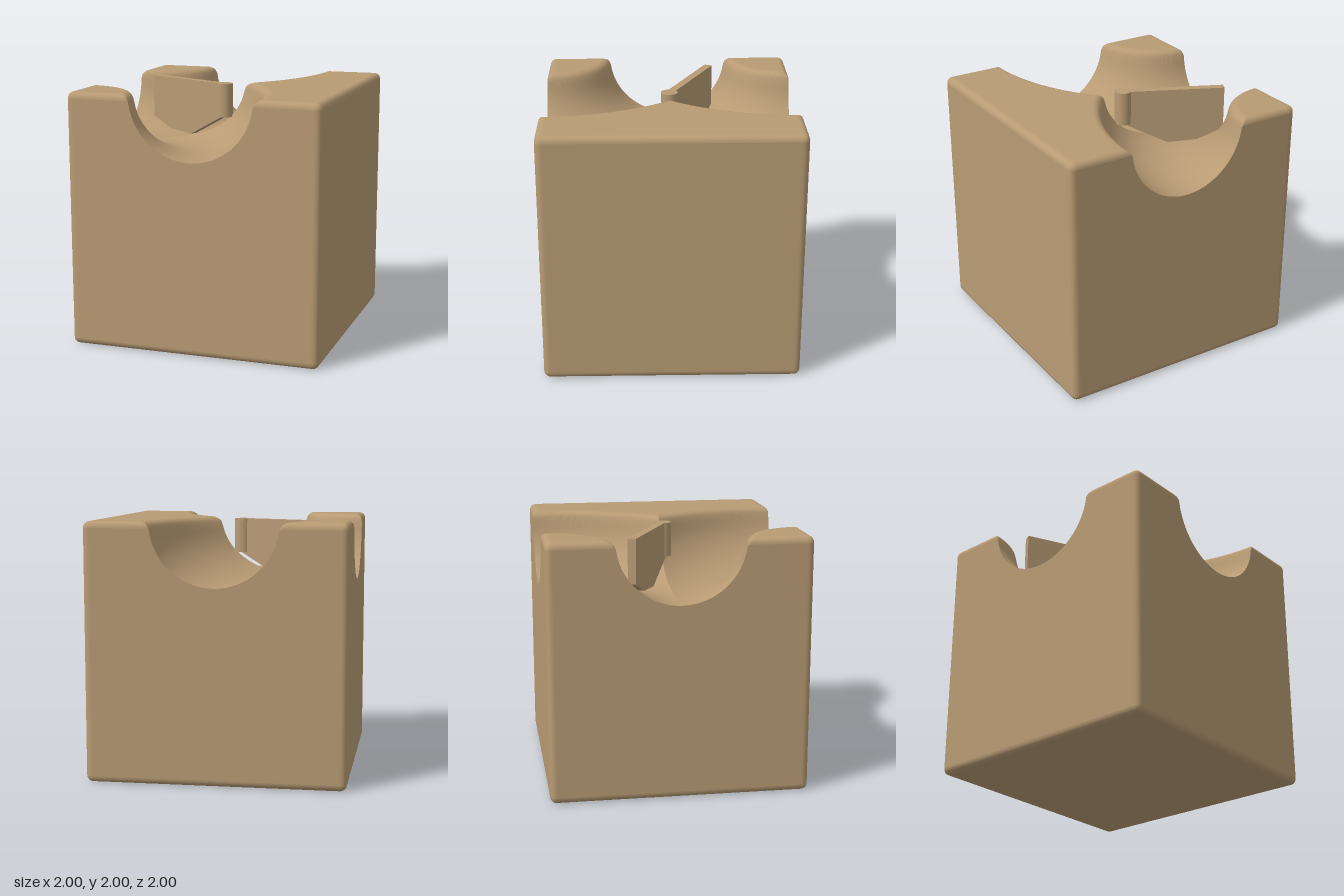
import * as THREE from 'three';

const EDGE = 0.05;              // rounding of the cube edges
const INNER = 1 - EDGE;
const GROOVE = 0.49, LIP = 0.56; // channel radius, outer limit of its rounded lip
const LIP_R = (LIP * LIP - GROOVE * GROOVE) / (2 * GROOVE);

// Channel height at a sideways distance from its centre line
function grooveHeight(offset) {
  if (offset >= LIP) return 2;
  const tangent = LIP * GROOVE / (GROOVE + LIP_R);
  if (offset < tangent) return 2 - Math.sqrt(GROOVE ** 2 - offset ** 2);
  return 2 - LIP_R + Math.sqrt(Math.max(0, LIP_R ** 2 - (LIP - offset) ** 2));
}

// Moves a point of the square plan onto a plan with rounded corners
function roundPlan(x, z) {
  const cx = THREE.MathUtils.clamp(x, -INNER, INNER), cz = Math.min(z, INNER);
  let qx = x - cx, qz = z - cz;
  const reach = Math.max(Math.abs(qx), Math.abs(qz)), len = Math.hypot(qx, qz);
  if (len > 0) { qx *= reach / len; qz *= reach / len; }
  return { x: cx + qx, z: cz + qz, rise: Math.sqrt(Math.max(0, EDGE ** 2 - reach ** 2)) };
}

// Top: rounded cube edge cut by a quarter-ring channel about the corner (-1, 1)
function topPoint(x, z) {
  const p = roundPlan(x, z);
  const offset = Math.abs(Math.hypot(p.x + 1, p.z - 1) - 1);
  return [p.x, Math.min(INNER + 1 + p.rise, grooveHeight(offset)), p.z];
}

function bottomPoint(x, z) {
  const p = roundPlan(x, z);
  return [p.x, EDGE - p.rise, p.z];
}

// Sample positions, bunched along the rounded rim
const rim = [1, 2, 3, 4, 5, 6].map(k => INNER + EDGE * Math.sin(k * Math.PI / 12));
function depthSamples(n) {
  return [...Array.from({ length: n + 1 }, (_, i) => INNER * i / n), ...rim];
}
function widthSamples(n) {
  const half = depthSamples(n);
  return [...half.slice(1).reverse().map(v => -v), ...half];
}

// Skin over columns of points; side -1 mirrors it to the back
function skin(columns, side, flip = false) {
  const rows = columns[0].length, index = [];
  const reversed = (side < 0) !== flip;
  const quad = (a, b, c) => index.push(...(reversed ? [a, c, b] : [a, b, c]));
  for (let i = 0; i < columns.length - 1; i++) {
    for (let j = 0; j < rows - 1; j++) {
      const a = i * rows + j, b = a + rows;
      quad(a, a + 1, b);
      quad(b, a + 1, b + 1);
    }
  }
  const g = new THREE.BufferGeometry();
  const pos = columns.flat().flatMap(([x, y, z]) => [x, y, z * side]);
  g.setAttribute('position', new THREE.Float32BufferAttribute(pos, 3));
  g.setIndex(index);
  g.computeVertexNormals();
  return g;
}

const grid = (xs, zs, point) => xs.map(x => zs.map(z => point(x, z)));

export function createModel() {
  const model = new THREE.Group();
  model.name = 'trackBlock';
  const wood = new THREE.MeshStandardMaterial({ color: 0xb89b74 });
  wood.name = 'wood';

  const add = (name, geometry, parent = model) => {
    const mesh = new THREE.Mesh(geometry, wood);
    mesh.name = name;
    parent.add(mesh);
    return mesh;
  };

  // Block, in two mirrored halves meeting at the ridge between the channels
  const xs = widthSamples(78), zs = depthSamples(78);
  const perimeter = [
    ...zs.map(z => [-1, z]),
    ...xs.slice(1).map(x => [x, 1]),
    ...zs.slice(0, -1).reverse().map(z => [1, z]),
  ];
  const wall = perimeter.map(([x, z]) => {
    const top = topPoint(x, z);
    return [top, [top[0], EDGE, top[2]]];
  });
  for (const [side, label] of [[1, 'front'], [-1, 'back']]) {
    const half = new THREE.Group();
    half.name = label + 'Half';
    model.add(half);
    add(label + 'Channel', skin(grid(xs, zs, topPoint), side), half);
    add(label + 'Walls', skin(wall, side), half);
    add(label + 'Underside', skin(grid(widthSamples(1), depthSamples(1), bottomPoint), side, true), half);
  }

  // Swinging gate: a pivot post and a flat arm that clears the channel floor
  const gate = new THREE.Group();
  gate.name = 'gate';
  gate.position.set(-0.07, 0, 0);
  gate.rotation.y = Math.PI - 0.441;
  model.add(gate);

  const post = add('pivotPost', new THREE.CylinderGeometry(0.068, 0.068, 0.27, 32), gate);
  post.position.y = 1.85;

  const outline = [[0, 1.985], [0, 1.715], [0.36, 1.535], [0.6, 1.55], [0.81, 1.64], [0.81, 1.985]];
  const arm = new THREE.ExtrudeGeometry(
    new THREE.Shape(outline.map(([x, y]) => new THREE.Vector2(x, y))),
    { depth: 0.064, bevelEnabled: false });
  arm.translate(0, 0, -0.032);
  add('gateArm', arm, gate);

  return model;
}
